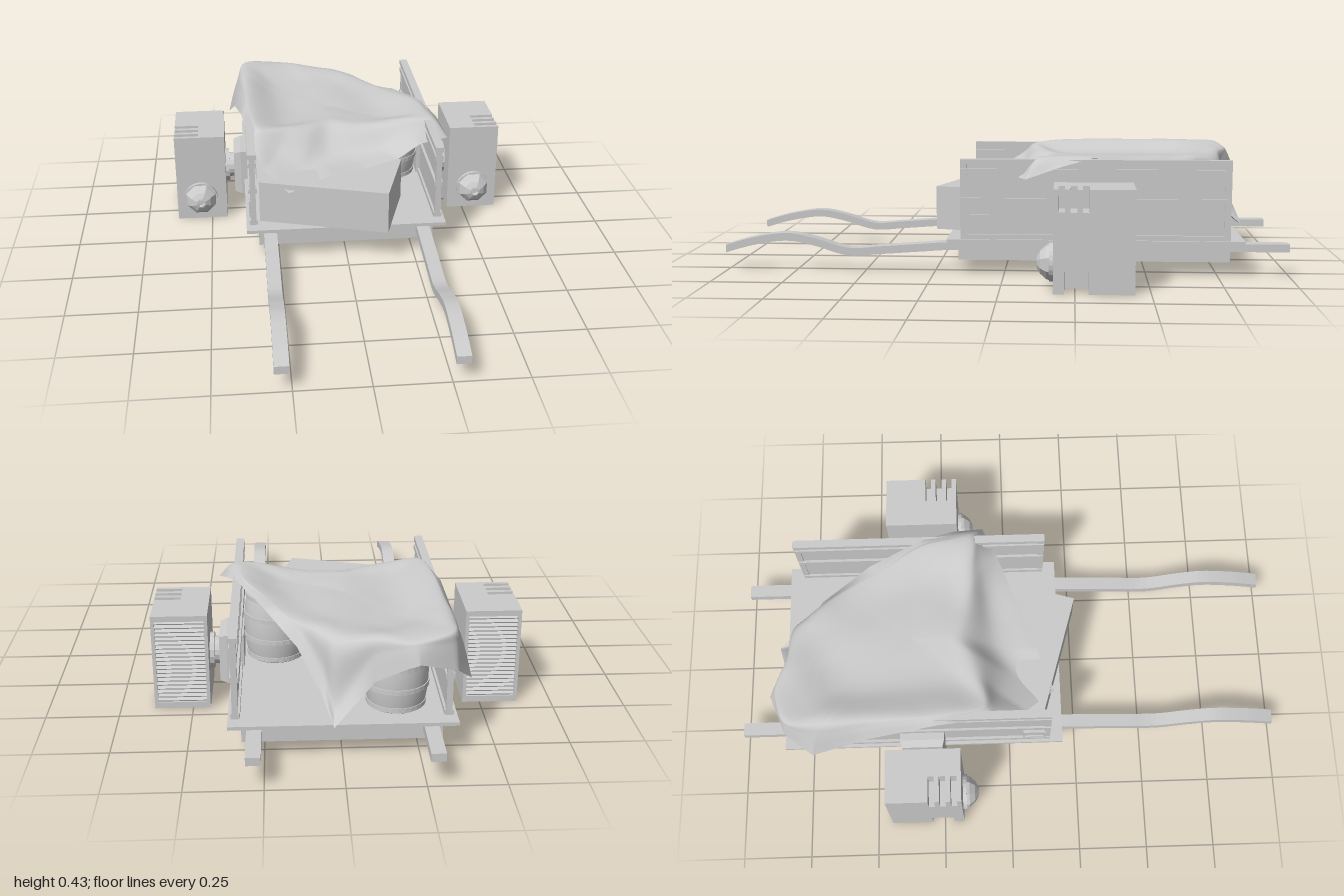
import * as THREE from 'three';

const grey = new THREE.MeshStandardMaterial({ color: 0xcccccc, flatShading: true });
const openGrey = new THREE.MeshStandardMaterial({ color: 0xcccccc, flatShading: true, side: THREE.DoubleSide });
const smooth = new THREE.MeshStandardMaterial({ color: 0xcccccc, side: THREE.DoubleSide });

function add(parent, name, geometry, material = grey) {
  const mesh = new THREE.Mesh(geometry, material);
  mesh.name = name;
  parent.add(mesh);
  return mesh;
}

// Box given by its extents on each axis
function box(parent, name, x0, x1, y0, y1, z0, z1) {
  const g = new THREE.BoxGeometry(Math.abs(x1 - x0), y1 - y0, Math.abs(z1 - z0));
  g.translate((x0 + x1) / 2, (y0 + y1) / 2, (z0 + z1) / 2);
  return add(parent, name, g);
}

// Cylinder lying along x
function axle(parent, name, x, y, z, radius, length, sides) {
  const g = new THREE.CylinderGeometry(radius, radius, length, sides);
  g.rotateZ(Math.PI / 2).translate(x, y, z);
  return add(parent, name, g);
}

// Side outline of [-z, y] points, extruded along x from x0
function sideExtrude(points, x0, width) {
  const shape = new THREE.Shape(points.map(([u, y]) => new THREE.Vector2(u, y)));
  return new THREE.ExtrudeGeometry(shape, { depth: width, bevelEnabled: false })
    .rotateY(Math.PI / 2).translate(x0, 0, 0);
}

// Pulling shaft: straight under the bed, wavy in front
function shaft(parent, x) {
  const curve = new THREE.SplineCurve([[-1, .08], [-.9, .108], [-.78, .125], [-.68, .108], [-.56, .074],
    [-.44, .08], [-.3, .09], [-.16, .098], [.2, .1], [1, .1]].map(p => new THREE.Vector2(...p)));
  const line = curve.getPoints(54);
  const outline = [...line.map(p => [p.x, p.y - .014]), ...line.reverse().map(p => [p.x, p.y + .014])];
  add(parent, 'shaft', sideExtrude(outline, x - .024, .048));
}

// Side wall with planks, rails and end posts
function sideWall(parent, s) {
  const wall = new THREE.Group();
  wall.name = 'sideWall';
  parent.add(wall);
  box(wall, 'lowerPlank', s * .334, s * .346, .145, .262, -.77, .14);
  box(wall, 'upperPlank', s * .336, s * .348, .27, .4, -.77, .14);
  for (const y of [.14, .268, .37, .403]) box(wall, 'rail', s * .326, s * .356, y - .009, y + .009, -.785, .15);
  for (const z of [-.777, .14]) box(wall, 'post', s * .331, s * .351, .13, .412, z - .011, z + .011);
  // Small framed plate near the front
  box(wall, 'plate', s * .34, s * .35, .158, .212, .057, .127);
  for (const y of [.155, .211]) box(wall, 'plateFrame', s * .34, s * .356, y, y + .007, .05, .134);
  for (const z of [.05, .127]) box(wall, 'plateFrame', s * .34, s * .356, .155, .218, z, z + .007);
}

// Side power unit with slots, louvres, nozzle and mount
function powerUnit(parent, s) {
  const unit = new THREE.Group();
  unit.name = 'powerUnit';
  parent.add(unit);
  box(unit, 'innerHousing', s * .44, s * .54, 0, .345, -.425, -.178);
  // Outer half: bottom notch and three slots over the top edge
  const outline = [[.178, 0], [.215, 0], [.215, .075], [.295, .075], [.295, 0], [.425, 0], [.425, .345]];
  for (const u of [.285, .245, .205]) {
    outline.push([u + .011, .345], [u + .011, .27], [u - .011, .27], [u - .011, .345]);
  }
  outline.push([.178, .345]);
  add(unit, 'outerHousing', sideExtrude(outline, s > 0 ? .54 : -.632, .092));
  // Stepped roller showing in the notch
  [.07, .055, .04].forEach((r, i) => axle(unit, 'roller', s * (.55 + i * .015), .075, -.295, r, .03, 20));

  // Rear grille
  for (const [a, b] of [[.44, .452], [.62, .632]]) box(unit, 'grilleSide', s * a, s * b, 0, .345, -.446, -.425);
  box(unit, 'grilleBottom', s * .452, s * .62, 0, .022, -.446, -.425);
  box(unit, 'grilleTop', s * .452, s * .62, .325, .345, -.446, -.425);
  for (let i = 0; i < 20; i++) {
    const slat = add(unit, 'louvre', new THREE.BoxGeometry(.168, .005, .02));
    slat.position.set(s * .536, .031 + i * .0152, -.435);
    slat.rotation.x = -.45;
  }

  // Front nozzle: round flange, octagonal dome and a centre hole
  const flange = new THREE.CylinderGeometry(.065, .065, .014, 24);
  add(unit, 'nozzleFlange', flange.rotateX(Math.PI / 2).translate(s * .54, .09, -.171));
  const profile = [[.063, .01], [.058, .024], [.04, .044], [.022, .054], [.016, .056], [.015, .04], [0, .04]];
  const nozzle = new THREE.LatheGeometry(profile.map(p => new THREE.Vector2(...p)), 8);
  nozzle.rotateY(Math.PI / 8).rotateX(Math.PI / 2).translate(s * .54, .09, -.178);
  add(unit, 'nozzle', nozzle, openGrey);

  // Mount joining the unit to the bed
  box(unit, 'mountBlock', s * .32, s * .38, .07, .25, -.4, -.24);
  const flare = new THREE.CylinderGeometry(.082 * Math.SQRT2, .09 * Math.SQRT2, .026, 4);
  flare.rotateY(Math.PI / 4).rotateZ(-s * Math.PI / 2).scale(1, 1, .89).translate(s * .393, .16, -.32);
  add(unit, 'mountFlange', flare);
  axle(unit, 'mountNeck', s * .42, .163, -.32, .048, .06, 16);
  axle(unit, 'mountCollar', s * .434, .163, -.32, .064, .018, 16);
}

// Bulging barrel with hoops
function barrel(parent, x, z, radius, height) {
  const g = new THREE.Group();
  g.name = 'barrel';
  g.position.set(x, .13, z);
  parent.add(g);
  const bulge = t => radius * (1 - .13 * (2 * t - 1) ** 2);
  const pts = [new THREE.Vector2(0, 0)];
  for (let i = 0; i <= 12; i++) {
    const t = i / 12;
    pts.push(new THREE.Vector2(bulge(t), t * height));
  }
  pts.push(new THREE.Vector2(0, height));
  add(g, 'barrelBody', new THREE.LatheGeometry(pts, 28), smooth);
  for (const t of [.06, .34, .66, .94]) {
    const hoop = new THREE.CylinderGeometry(bulge(t) + .004, bulge(t) + .004, .016, 28);
    add(g, 'hoop', hoop.translate(0, t * height, 0));
  }
}

// Draped cover: radial folds from the centre, over a shoulder, to a straight-cut hem
function cover(parent) {
  // hem x, z, y, then shoulder fraction, shoulder height and how far it has dropped halfway
  const hem = [
    [-.42, -.72, .23, .84, .42, .3], [-.36, -.81, .30, .95, .424, .3], [-.23, -.86, .345, .93, .41, .3],
    [-.1, -.82, .27, .93, .4, .4], [.03, -.87, .138, .8, .39, .8], [.07, -.78, .22, .87, .39, .6],
    [.14, -.68, .33, .88, .395, .4], [.25, -.5, .395, .85, .398, .3], [.34, -.31, .416, .92, .418, .3],
    [.385, -.2, .39, .87, .42, .25], [.412, -.08, .35, .83, .42, .25], [.3, -.03, .35, .7, .4, .5],
    [.21, .01, .31, .6, .39, .75], [.08, .06, .298, .5, .388, .85], [-.06, .11, .297, .42, .388, .92],
    [-.21, .17, .265, .44, .39, .72], [-.3, .06, .31, .6, .4, .7], [-.34, -.06, .38, .88, .415, .4],
    [-.372, -.28, .395, .91, .422, .3], [-.395, -.5, .34, .87, .422, .3]];
  const cx = -.03, cz = -.35, N = 120, M = 24;
  const shoulderAt = ([x, z, , s, h]) => new THREE.Vector3(cx + (x - cx) * s, h, cz + (z - cz) * s);
  const hemAt = ([x, z, y]) => new THREE.Vector3(x, y, z);
  const halfway = h => {
    const a = shoulderAt(h), b = hemAt(h);
    return a.clone().lerp(b, .45).setY(a.y + (b.y - a.y) * h[5]);
  };
  const shoulder = new THREE.CatmullRomCurve3(hem.map(shoulderAt), true, 'centripetal');
  const drop = new THREE.CatmullRomCurve3(hem.map(halfway), true, 'catmullrom', .3);
  const edge = new THREE.CatmullRomCurve3(hem.map(hemAt), true, 'catmullrom', 0);
  const centre = new THREE.Vector3(cx, .386, cz);
  const pos = [], index = [];
  for (let i = 0; i <= N; i++) {
    const t = (i % N) / N, a = shoulder.getPoint(t);
    const mid = centre.clone().lerp(a, .6).setY(.389);
    const fold = new THREE.CatmullRomCurve3([centre, mid, a, drop.getPoint(t), edge.getPoint(t)], false, 'centripetal');
    for (let j = 0; j <= M; j++) {
      const p = fold.getPoint(j / M);
      // Soft wrinkles on the flat middle
      const w = Math.max(0, Math.sin(Math.PI * j / M * 1.6));
      pos.push(p.x, p.y + .005 * w * Math.sin(p.x * 19 + p.z * 11 + 2 * Math.sin(p.z * 8)), p.z);
      if (i < N && j < M) {
        const k = i * (M + 1) + j, n = k + M + 1;
        index.push(k, k + 1, n, n, k + 1, n + 1);
      }
    }
  }
  const g = new THREE.BufferGeometry();
  g.setAttribute('position', new THREE.Float32BufferAttribute(pos, 3));
  g.setIndex(index);
  g.computeVertexNormals();
  add(parent, 'cover', g, smooth);
}

export function createModel() {
  const model = new THREE.Group();
  model.name = 'cargoSled';

  // Bed
  box(model, 'chassis', -.323, .323, .052, .122, -.79, .16);
  box(model, 'deck', -.368, .365, .12, .132, -.838, .198);

  for (const s of [-1, 1]) {
    shaft(model, s * .282);
    sideWall(model, s);
    powerUnit(model, s);
  }

  // Cargo
  const crate = add(model, 'crate', new THREE.BoxGeometry(.48, .158, .3));
  crate.position.set(-.045, .211, .046);
  crate.rotation.y = -.288;
  barrel(model, .21, -.28, .11, .245);
  barrel(model, -.18, -.68, .105, .24);
  cover(model);
  return model;
}
